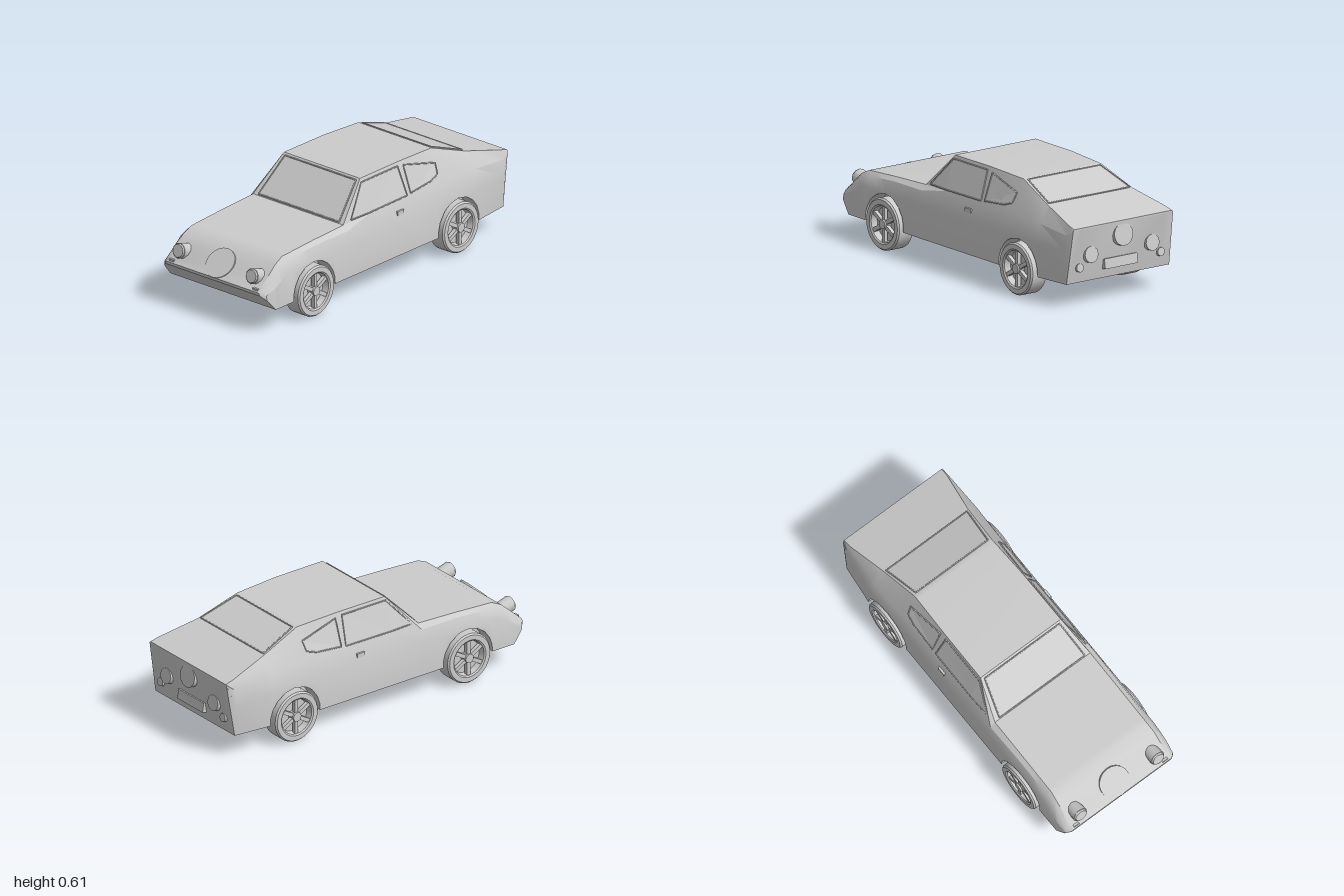
import * as THREE from 'three';
import { toCreasedNormals } from 'three/addons/utils/BufferGeometryUtils.js';

const grey = new THREE.MeshStandardMaterial({ color: 0xcccccc });
const greyThin = new THREE.MeshStandardMaterial({ color: 0xcccccc, side: THREE.DoubleSide });
const V = (x, y, z) => new THREE.Vector3(x, y, z);

// Body stations, front to back:
// z, bottom y, sill x, waist y, waist x, shoulder y, shoulder x, top y, top x
const KEYS = [
  [0.995, 0.225, 0.335, 0.23, 0.335, 0.235, 0.332, 0.24, 0.325],
  [0.97, 0.198, 0.365, 0.225, 0.362, 0.25, 0.345, 0.262, 0.325],
  [0.91, 0.13, 0.375, 0.25, 0.37, 0.295, 0.347, 0.316, 0.325],
  [0.86, 0.13, 0.375, 0.28, 0.37, 0.34, 0.345, 0.36, 0.325],
  [0.80, 0.13, 0.375, 0.31, 0.368, 0.365, 0.343, 0.388, 0.32],
  [0.55, 0.13, 0.375, 0.315, 0.369, 0.383, 0.345, 0.403, 0.32],
  [0.31, 0.13, 0.375, 0.315, 0.37, 0.385, 0.35, 0.413, 0.32],
  [0.12, 0.13, 0.375, 0.315, 0.37, 0.42, 0.335, 0.608, 0.27],
  [-0.2, 0.13, 0.375, 0.315, 0.37, 0.42, 0.335, 0.608, 0.268],
  [-0.46, 0.13, 0.375, 0.315, 0.37, 0.43, 0.338, 0.597, 0.26],
  [-0.7, 0.13, 0.372, 0.315, 0.368, 0.42, 0.347, 0.51, 0.285],
  [-0.94, 0.13, 0.345, 0.31, 0.354, 0.4, 0.345, 0.452, 0.327],
  [-0.987, 0.43, 0.335, 0.433, 0.335, 0.436, 0.333, 0.44, 0.328],
];
const AXLES = [0.6, -0.555];
const ARCH_R = 0.165, AXLE_Y = 0.143, WELL_X = 0.28;
const lerp = THREE.MathUtils.lerp;

function station(z) {
  let i = 0;
  while (i < KEYS.length - 2 && z < KEYS[i + 1][0]) i++;
  const a = KEYS[i], b = KEYS[i + 1], t = (z - a[0]) / (b[0] - a[0]);
  return a.map((v, k) => lerp(v, b[k], t));
}

// Closed cross-section; the lower edge lifts over the wheels to form the wells
function section(z) {
  const [, yb, xs, ym, xm, ysh, xsh, yt, xt] = station(z);
  let lift = yb;
  for (const c of AXLES) {
    const d = Math.abs(z - c);
    if (d < ARCH_R) lift = Math.max(lift, AXLE_Y + Math.sqrt(ARCH_R ** 2 - d * d));
  }
  const xl = lerp(xs, xm, (lift - yb) / (ym - yb));
  const half = [[0, yb], [WELL_X, yb], [WELL_X, lift], [xl, lift], [xm, ym], [xsh, ysh], [xt, yt], [0, yt]];
  const mirrored = half.slice(1, -1).reverse().map(([x, y]) => [-x, y]);
  return half.concat(mirrored).map(([x, y]) => [x, y, z]);
}

function bodyGeometry() {
  const zs = KEYS.map(k => k[0]);
  for (const c of AXLES)
    for (const d of [-1.001, -0.985, -0.9, -0.7, -0.4, 0, 0.4, 0.7, 0.9, 0.985, 1.001]) zs.push(c + d * ARCH_R);
  zs.sort((a, b) => b - a);
  const rings = zs.map(section), n = rings[0].length, pos = [], idx = [];
  rings.forEach(r => r.forEach(p => pos.push(...p)));
  for (let s = 0; s < rings.length - 1; s++)
    for (let i = 0; i < n; i++) {
      const a = s * n + i, b = s * n + (i + 1) % n;
      idx.push(a, a + n, b, b, a + n, b + n);
    }
  const last = (rings.length - 1) * n;
  for (let i = 1; i < n - 1; i++) idx.push(0, i, i + 1, last, last + i + 1, last + i);
  const g = new THREE.BufferGeometry();
  g.setAttribute('position', new THREE.Float32BufferAttribute(pos, 3));
  g.setIndex(idx);
  return toCreasedNormals(g, 0.45);
}

function add(parent, name, geo, x = 0, y = 0, z = 0, rx = 0, mat = grey) {
  const m = new THREE.Mesh(geo, mat);
  m.name = name;
  m.position.set(x, y, z);
  m.rotation.x = rx;
  parent.add(m);
  return m;
}

// Glass polygon with a slim trim bar along each edge
function pane(parent, name, pts, offset) {
  const g = new THREE.Group();
  g.name = name;
  const p = pts.map(q => q.clone().add(offset)), pos = [];
  for (let i = 1; i < p.length - 1; i++) for (const q of [p[0], p[i], p[i + 1]]) pos.push(q.x, q.y, q.z);
  const geo = new THREE.BufferGeometry();
  geo.setAttribute('position', new THREE.Float32BufferAttribute(pos, 3));
  geo.computeVertexNormals();
  add(g, 'glass', geo, 0, 0, 0, 0, greyThin);
  p.forEach((a, i) => {
    const b = p[(i + 1) % p.length], d = b.clone().sub(a);
    const bar = add(g, 'trim', new THREE.CylinderGeometry(0.004, 0.004, d.length(), 6));
    bar.position.copy(a).addScaledVector(d, 0.5);
    bar.quaternion.setFromUnitVectors(V(0, 1, 0), d.normalize());
  });
  parent.add(g);
}

// Point on the cabin side, between shoulder and roof edge
function sidePoint(s, z, y) {
  const k = station(z);
  return V(s * lerp(k[6], k[8], (y - k[5]) / (k[7] - k[5])), y, z);
}

function wheel() {
  const g = new THREE.Group();
  g.name = 'wheel';
  const profile = [[0, -0.054], [0.13, -0.054], [0.143, -0.045], [0.143, 0.045], [0.135, 0.054],
    [0.108, 0.054], [0.1, 0.048], [0.094, 0.012], [0, 0.012]].map(p => new THREE.Vector2(...p));
  add(g, 'tyre', toCreasedNormals(new THREE.LatheGeometry(profile, 32), 0.5));
  for (let i = 0; i < 6; i++) {
    const spoke = new THREE.BoxGeometry(0.082, 0.022, 0.022).translate(0.058, 0.034, 0);
    add(g, 'spoke', spoke.rotateY(i * Math.PI / 3));
  }
  add(g, 'hub', new THREE.CylinderGeometry(0.026, 0.03, 0.04, 16), 0, 0.034, 0);
  return g;
}

export function createModel() {
  const car = new THREE.Group();
  car.name = 'car';
  add(car, 'body', bodyGeometry());

  // Windscreen and rear window
  const w0 = t => [lerp(0.413, 0.608, t), lerp(0.31, 0.12, t)];
  const w1 = t => [lerp(0.597, 0.51, t), lerp(-0.46, -0.7, t)];
  const quad = (f, a, xa, b, xb) => [V(-xa, ...f(a)), V(xa, ...f(a)), V(xb, ...f(b)), V(-xb, ...f(b))];
  pane(car, 'windscreen', quad(w0, 0.03, 0.287, 0.94, 0.252), V(0, 0.002, 0.002));
  pane(car, 'rearWindow', quad(w1, 0.97, 0.272, 0.06, 0.242), V(0, 0.003, -0.001));

  for (const s of [1, -1]) {
    // Side windows and door handle
    const out = V(s * 0.003, 0.001, 0);
    const door = [[0.12, 0.427], [-0.185, 0.43], [-0.17, 0.588], [0.12, 0.588], [0.258, 0.428]];
    const quarter = [[-0.215, 0.435], [-0.38, 0.45], [-0.44, 0.47], [-0.45, 0.525], [-0.215, 0.582]];
    pane(car, 'doorWindow', door.map(p => sidePoint(s, ...p)), out);
    pane(car, 'quarterWindow', quarter.map(p => sidePoint(s, ...p)), out);
    add(car, 'doorHandle', new THREE.BoxGeometry(0.014, 0.022, 0.05), s * 0.355, 0.365, -0.105);

    // Wheels
    for (const z of AXLES) {
      const w = wheel();
      w.position.set(s * 0.337, AXLE_Y, z);
      w.rotation.z = -s * Math.PI / 2;
      car.add(w);
    }

    // Headlights and front indicators
    add(car, 'headlight', new THREE.CylinderGeometry(0.044, 0.038, 0.12, 10), s * 0.26, 0.295, 0.913, Math.PI / 2 - 0.26);
    add(car, 'headlightLens', new THREE.CylinderGeometry(0.036, 0.04, 0.01, 10), s * 0.26, 0.312, 0.975, Math.PI / 2 - 0.26);
    add(car, 'frontIndicator', new THREE.BoxGeometry(0.034, 0.02, 0.03), s * 0.298, 0.246, 0.974);

    // Tail lights and reversing lights
    add(car, 'tailLight', new THREE.CylinderGeometry(0.045, 0.045, 0.03, 12), s * 0.205, 0.28, -0.965, Math.PI / 2 + 0.15);
    add(car, 'reverseLight', new THREE.CylinderGeometry(0.024, 0.024, 0.024, 10), s * 0.272, 0.215, -0.955, Math.PI / 2 + 0.15);
  }

  // Round plain discs on nose and tail, and the rear plate
  add(car, 'noseDisc', new THREE.CylinderGeometry(0.09, 0.09, 0.016, 20), 0, 0.298, 0.929, 0.77);
  add(car, 'tailDisc', new THREE.CylinderGeometry(0.062, 0.062, 0.03, 20), 0, 0.362, -0.978, Math.PI / 2 + 0.15);
  add(car, 'rearPlate', new THREE.BoxGeometry(0.22, 0.055, 0.026), 0, 0.21, -0.958, 0.15);
  return car;
}
